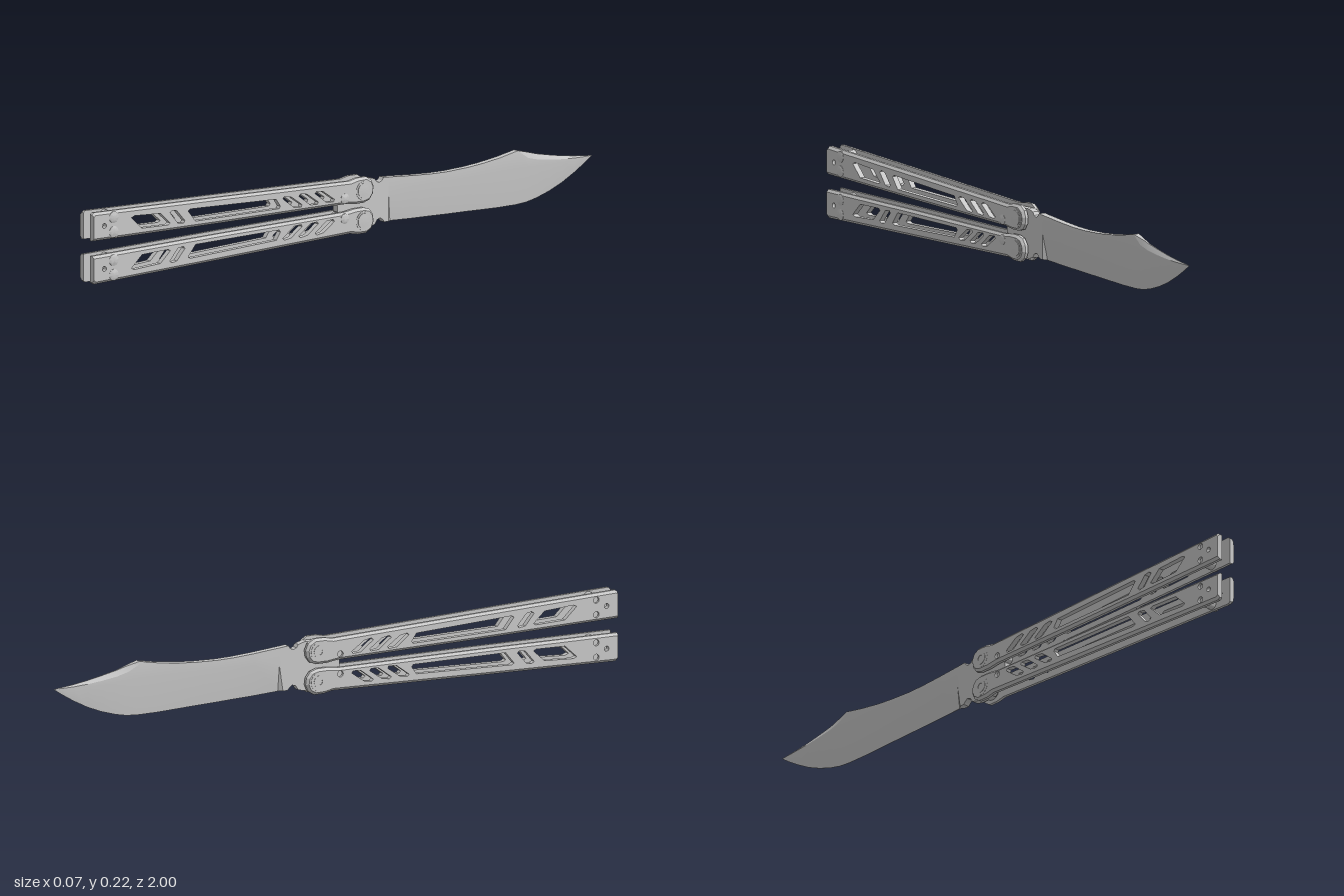
import * as THREE from 'three';
import { toCreasedNormals, mergeVertices } from 'three/addons/utils/BufferGeometryUtils.js';

const H = 0.225;    // overall height; the lower handle mirrors the upper about H / 2
const CX = -0.0015; // middle plane; the screw heads stand out on the left only

export function createModel() {
  const model = new THREE.Group();
  model.name = 'foldingKnife';
  const steel = new THREE.MeshStandardMaterial({ color: 0xc8c8c8 });
  steel.name = 'steel grey';

  const add = (parent, geo, name) => {
    const mesh = new THREE.Mesh(geo, steel);
    mesh.name = name;
    mesh.position.x = CX;
    parent.add(mesh);
  };

  // Extrudes a side outline given as (z, y) to a slab centred on x = 0
  const slab = (shape, width) => {
    const geo = new THREE.ExtrudeGeometry(shape, {
      depth: width, steps: 2, bevelEnabled: false, curveSegments: 12,
    });
    geo.translate(0, 0, -width / 2);
    return geo.rotateY(-Math.PI / 2);
  };

  // Round part along x, from a profile of [radius, x]
  const turned = (profile, y, z) => {
    const geo = new THREE.LatheGeometry(profile.map(([r, x]) => new THREE.Vector2(r, x)), 28);
    geo.rotateZ(-Math.PI / 2);
    geo.translate(0, y, z);
    return toCreasedNormals(geo, 0.6);
  };

  // ---- handles ----
  const outline = [
    [1, 0.136], [1, 0.219], [0.992, 0.225], [0.5, 0.211], [-0.02, 0.195], [-0.05, 0.201],
    [-0.085, 0.201], [-0.106, 0.188], [-0.115, 0.167], [-0.112, 0.145], [-0.098, 0.127],
    [-0.075, 0.12], [-0.04, 0.12], [0, 0.125], [0.5, 0.129],
  ];
  const windows = [
    [[0.85, 0.192], [0.838, 0.197], [0.735, 0.191], [0.696, 0.156], [0.704, 0.151], [0.808, 0.154]],
    [[0.698, 0.189], [0.688, 0.195], [0.67, 0.191], [0.638, 0.156], [0.644, 0.149], [0.666, 0.152]],
    [[0.626, 0.185], [0.617, 0.19], [0.277, 0.177], [0.26, 0.153], [0.265, 0.146], [0.596, 0.149]],
  ];
  // Three matching slanted slots
  for (const z of [0.17, 0.106, 0.042]) {
    windows.push([[z + 0.081, 0.175], [z + 0.074, 0.181], [z + 0.048, 0.177],
      [z + 0.004, 0.147], [z + 0.008, 0.14], [z + 0.036, 0.142]]);
  }
  const screws = [[0.92, 0.203, 0.018], [0.92, 0.157, 0.018], [0.005, 0.144, 0.016]];
  const pivot = [-0.07, 0.16];
  const plateWidth = 0.0175, plateX = 0.02525, chamfer = 0.008;

  const makeHandle = (name, flip) => {
    const handle = new THREE.Group();
    handle.name = name;
    const Y = (y) => (flip ? H - y : y);
    // Mirrored outlines are reversed so that they still run anticlockwise
    const points = (list) => {
      const result = list.map(([z, y]) => new THREE.Vector2(z, Y(y)));
      return flip ? result.reverse() : result;
    };
    const hole = (z, y, r) => new THREE.Path().absarc(z, Y(y), r, 0, Math.PI * 2, true);
    const rim = points(outline);

    // Plate with its outer rim chamfered on the outward side
    const makePlate = (shape, side) => {
      const geo = slab(shape, plateWidth);
      const pos = geo.attributes.position;
      for (let i = 0; i < pos.count; i++) {
        const x = pos.getX(i), y = pos.getY(i), z = pos.getZ(i);
        if (Math.abs(x) < 1e-5) {
          pos.setX(i, side * (plateWidth / 2 - chamfer));
        } else if (x * side > 0 && rim.some((p) => Math.hypot(p.x - z, p.y - y) < 1e-4)) {
          const dz = THREE.MathUtils.clamp(z, pivot[0], 0.99) - z;
          const dy = Y(0.16 + 0.02 * z) - y;
          const k = chamfer / Math.hypot(dz, dy);
          pos.setY(i, y + dy * k);
          pos.setZ(i, z + dz * k);
        }
      }
      geo.translate(side * plateX, 0, 0);
      return toCreasedNormals(geo, 0.3);
    };

    for (const side of [1, -1]) {
      const shape = new THREE.Shape(rim);
      windows.forEach((w) => shape.holes.push(new THREE.Path(points(w))));
      shape.holes.push(hole(0.957, 0.18, 0.008));
      // Screw sockets are open on the right side only
      if (side < 0) screws.forEach(([z, y]) => shape.holes.push(hole(z, y, 0.01)));
      add(handle, makePlate(shape, side), side > 0 ? 'leftPlate' : 'rightPlate');
    }

    // Spacers with domed heads on the left and recessed ends on the right
    for (const [z, y, r] of screws) {
      add(handle, turned([
        [0, -0.026], [r * 0.95, -0.026], [r * 0.95, 0.033], [r, 0.033], [r, 0.0348],
        [r * 0.85, 0.0362], [r * 0.5, 0.0373], [0, 0.0376],
      ], Y(y), z), 'spacerScrew');
    }

    // Pivot bolt: stepped cap on the left, ring with socket on the right
    add(handle, turned([
      [0, -0.029], [0.01, -0.029], [0.01, -0.0355], [0.02, -0.0355], [0.02, -0.0346],
      [0.03, -0.0346], [0.03, 0.0352], [0.024, 0.0352], [0.024, 0.0366], [0.014, 0.0374], [0, 0.0376],
    ], Y(pivot[1]), pivot[0]), 'pivotBolt');
    model.add(handle);
  };
  makeHandle('upperHandle', false);
  makeHandle('lowerHandle', true);

  // ---- tang between the handles ----
  const tang = [
    [-0.187, 0.045], [-0.187, 0.184], [-0.167, 0.186], [-0.161, 0.177], [-0.15, 0.172],
    [-0.139, 0.176], [-0.132, 0.186], [-0.11, 0.192], [-0.05, 0.19], [-0.02, 0.16], [0.015, 0.125],
    [0.015, 0.1], [-0.02, 0.065], [-0.05, 0.037], [-0.11, 0.037], [-0.132, 0.042],
    [-0.141, 0.056], [-0.154, 0.06], [-0.164, 0.053], [-0.17, 0.045],
  ];
  const tangShape = new THREE.Shape(tang.map((p) => new THREE.Vector2(...p)));
  add(model, toCreasedNormals(slab(tangShape, 0.022), 0.5), 'tang');

  // ---- blade, lofted along z ----
  // [z, spine y, swedge y, grind y, edge y, half width, spine half width, edge half width]
  const stations = [
    [-0.187, 0.184, 0.18, 0.126, 0.045, 0.011, 0.011, 0.011],
    [-0.2, 0.183, 0.178, 0.128, 0.044, 0.011, 0.011, 0.0008],
    [-0.29, 0.176, 0.171, 0.14, 0.04, 0.011, 0.011, 0.0005],
    [-0.36, 0.172, 0.167, 0.142, 0.038, 0.011, 0.011, 0.0005],
    [-0.42, 0.171, 0.166, 0.142, 0.036, 0.011, 0.011, 0.0005],
    [-0.5, 0.174, 0.169, 0.143, 0.034, 0.011, 0.011, 0.0005],
    [-0.56, 0.179, 0.173, 0.145, 0.032, 0.011, 0.011, 0.0005],
    [-0.63, 0.188, 0.181, 0.147, 0.03, 0.011, 0.011, 0.0005],
    [-0.7, 0.201, 0.192, 0.148, 0.03, 0.011, 0.01, 0.0005],
    [-0.74, 0.191, 0.173, 0.146, 0.033, 0.0108, 0.005, 0.0005],
    [-0.78, 0.18, 0.163, 0.144, 0.041, 0.0104, 0.002, 0.0005],
    [-0.83, 0.17, 0.156, 0.142, 0.056, 0.0094, 0.0015, 0.0005],
    [-0.88, 0.161, 0.151, 0.142, 0.076, 0.0078, 0.0012, 0.0005],
    [-0.93, 0.154, 0.148, 0.143, 0.102, 0.0055, 0.001, 0.0005],
    [-0.97, 0.15, 0.147, 0.145, 0.126, 0.003, 0.0007, 0.0004],
    [-1, 0.147, 0.1468, 0.1465, 0.146, 0.0004, 0.0003, 0.0003],
  ];
  const pos = [];
  const index = [];
  const N = 8;
  for (const [z, spine, swedge, grind, edge, t, tt, tb] of stations) {
    const half = [[tb, edge], [t, grind], [t, swedge], [tt, spine]];
    half.forEach(([x, y]) => pos.push(x, y, z));
    half.reverse().forEach(([x, y]) => pos.push(-x, y, z));
  }
  for (let s = 0; s < stations.length - 1; s++) {
    for (let i = 0; i < N; i++) {
      const a = s * N + i, b = s * N + ((i + 1) % N), c = a + N, d = b + N;
      index.push(a, c, b, b, c, d);
    }
  }
  // Tip cap
  const last = (stations.length - 1) * N;
  for (let i = 1; i < N - 1; i++) index.push(last, last + i + 1, last + i);
  const blade = new THREE.BufferGeometry();
  blade.setAttribute('position', new THREE.Float32BufferAttribute(pos, 3));
  blade.setIndex(index);
  add(model, toCreasedNormals(mergeVertices(blade, 1e-5), 0.2), 'blade');

  return model;
}
